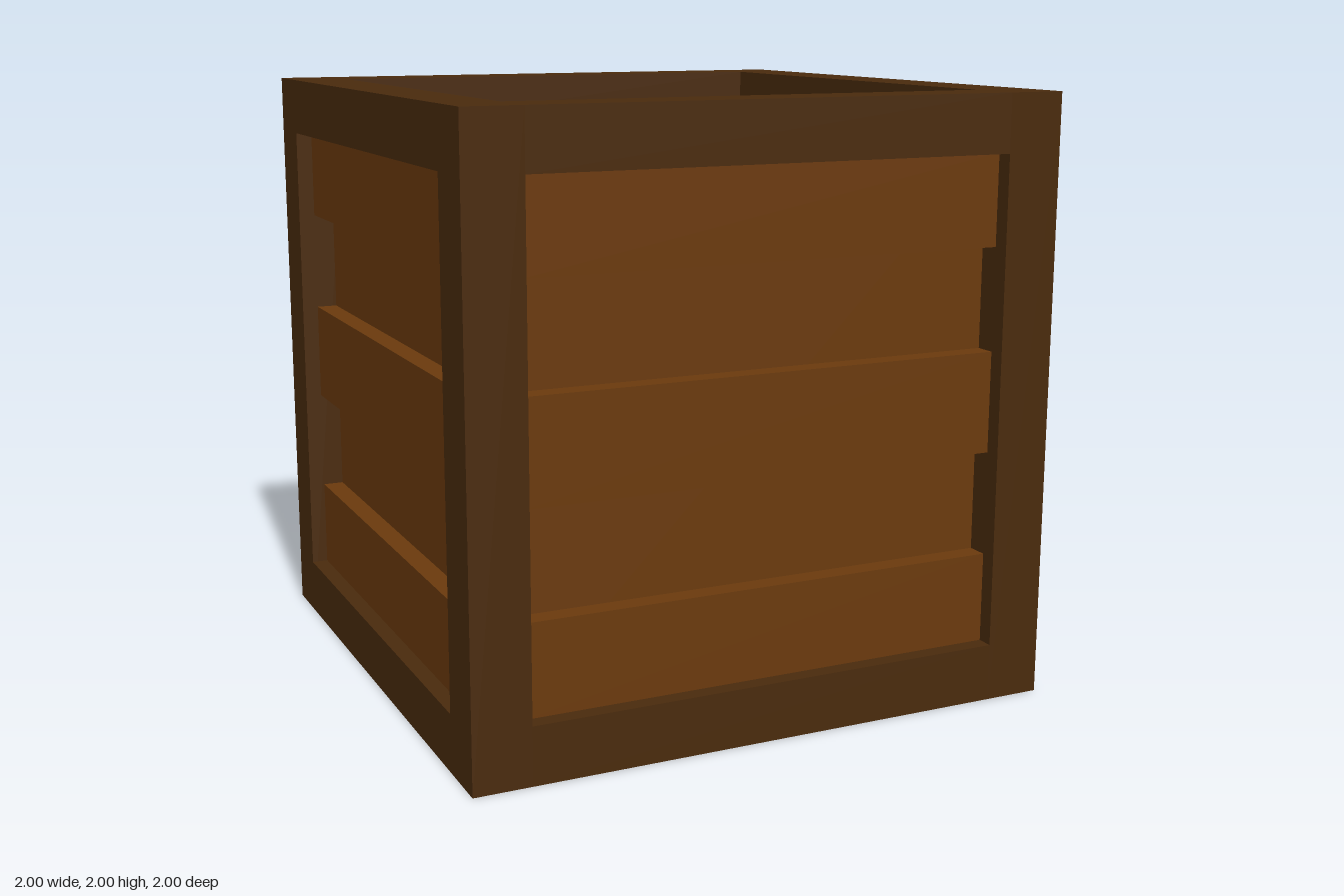
import * as THREE from 'three';

const SIZE = 2;
const BAR = 0.19;              // thickness of the frame beams
const OPEN = SIZE - 2 * BAR;   // width of each opening
const PANEL = 0.875;           // recessed board face, measured from the centre
const RAISED = 0.945;          // raised plank face, measured from the centre

export function createModel() {
  const frameWood = new THREE.MeshStandardMaterial({ color: 0x4a2b0d });
  frameWood.name = 'dark frame wood';
  const plankWood = new THREE.MeshStandardMaterial({ color: 0x6b3a0d });
  plankWood.name = 'plank wood';

  const crate = new THREE.Group();
  crate.name = 'crate';

  const box = (parent, name, material, size, position) => {
    const mesh = new THREE.Mesh(new THREE.BoxGeometry(...size), material);
    mesh.name = name;
    mesh.position.set(...position);
    parent.add(mesh);
  };

  // Recessed boards: the inner box seen in every opening
  box(crate, 'innerBoards', plankWood, [2 * PANEL, 2 * PANEL, 2 * PANEL], [0, 1, 0]);

  // Frame: corner posts and the rails between them
  const frame = new THREE.Group();
  frame.name = 'frame';
  crate.add(frame);
  const c = (SIZE - BAR) / 2;
  for (const a of [-c, c]) {
    for (const b of [-c, c]) {
      box(frame, 'cornerPost', frameWood, [BAR, SIZE, BAR], [a, 1, b]);
      box(frame, 'crossRail', frameWood, [OPEN, BAR, BAR], [0, 1 + a, b]);
      box(frame, 'sideRail', frameWood, [BAR, BAR, OPEN], [a, 1 + b, 0]);
    }
  }

  // Raised planks: bottom, middle and top of each of the four walls
  const planks = [[0.19, 0.49], [0.835, 1.17], [1.51, 1.81]];
  ['front', 'left', 'back', 'right'].forEach((side, i) => {
    const wall = new THREE.Group();
    wall.name = side + 'Planks';
    wall.rotation.y = i * Math.PI / 2;
    for (const [low, high] of planks) {
      box(wall, 'raisedPlank', plankWood,
        [OPEN, high - low, RAISED - PANEL], [0, (low + high) / 2, (RAISED + PANEL) / 2]);
    }
    crate.add(wall);
  });

  return crate;
}
